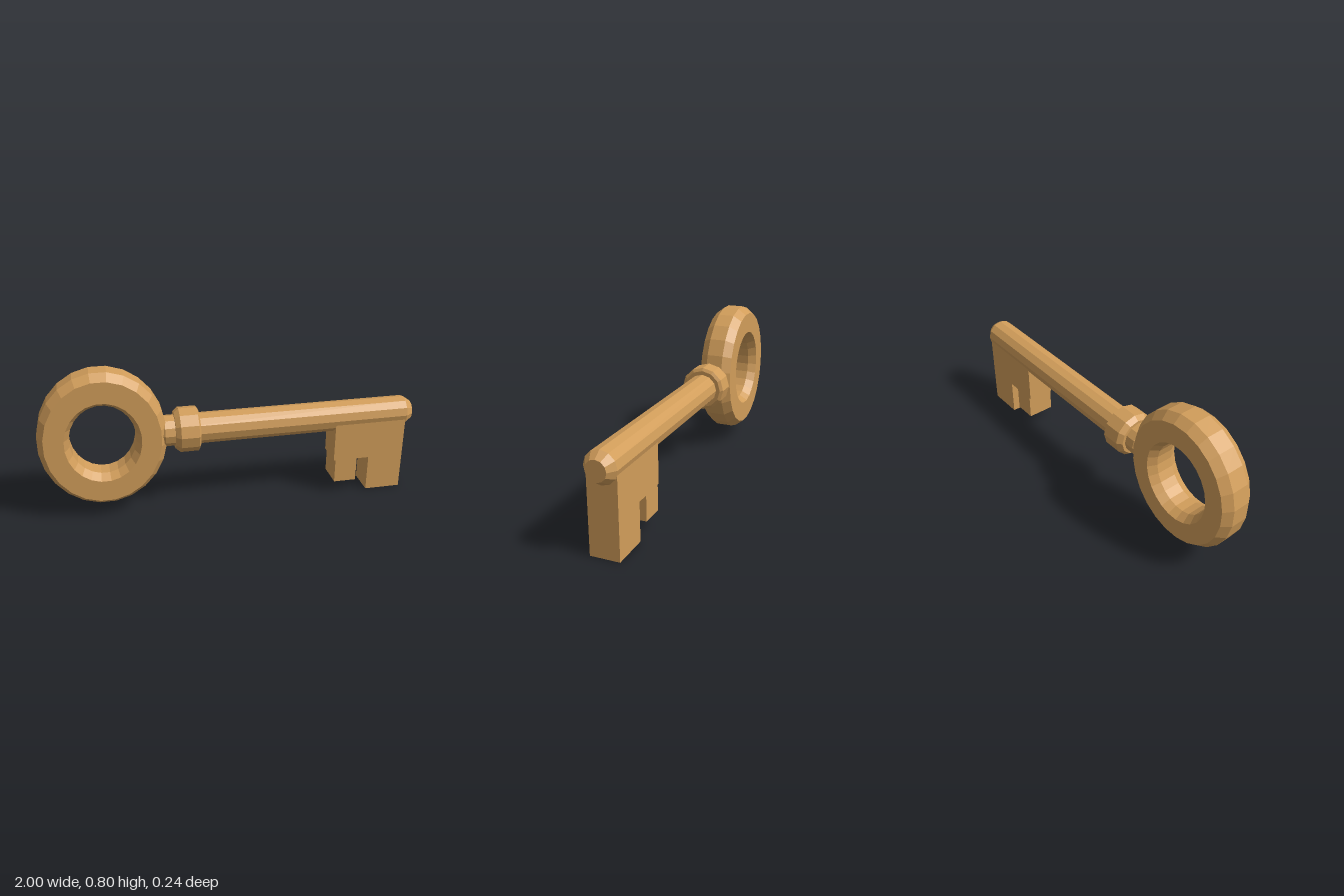
import * as THREE from 'three';

const AXIS_Y = 0.437;

// Separate the faces so that every facet is shaded flat
function faceted(geometry) {
  const flat = geometry.index ? geometry.toNonIndexed() : geometry;
  flat.computeVertexNormals();
  return flat;
}

// Revolve [radius, position] pairs around the y axis
function revolve(profile, sides, start = 0) {
  const points = profile.map(([r, p]) => new THREE.Vector2(r, p));
  return new THREE.LatheGeometry(points, sides, start);
}

export function createModel() {
  const model = new THREE.Group();
  model.name = 'key';
  const brass = new THREE.MeshStandardMaterial({ color: 0xd19d5a });
  brass.name = 'brass';

  function add(name, geometry, x = 0, y = 0) {
    const mesh = new THREE.Mesh(faceted(geometry), brass);
    mesh.name = name;
    mesh.position.set(x, y, 0);
    model.add(mesh);
  }

  // Oval bow with chamfered outer and inner rims
  const bow = revolve([
    [0.19, -0.045], [0.218, -0.09], [0.332, -0.09], [0.367, -0.045],
    [0.367, 0.045], [0.332, 0.09], [0.218, 0.09], [0.19, 0.045], [0.19, -0.045],
  ], 24, Math.PI / 24);
  bow.rotateX(Math.PI / 2).scale(0.893, 1, 1);
  add('bow', bow, -0.675, AXIS_Y);

  // Shaft with chamfered ends
  const shaft = revolve([
    [0, -0.4], [0.052, -0.4], [0.082, -0.36], [0.082, 0.958], [0.052, 1], [0, 1],
  ], 12);
  add('shaft', shaft.rotateZ(-Math.PI / 2), 0, AXIS_Y);

  // Collar between bow and shaft
  const collar = revolve([
    [0, -0.307], [0.098, -0.307], [0.119, -0.282], [0.119, -0.188], [0.103, -0.178], [0, -0.178],
  ], 12);
  add('collar', collar.rotateZ(-Math.PI / 2), 0, AXIS_Y);

  // Notched bit below the shaft
  const outline = [
    [0.557, 0.42], [0.557, 0.2], [0.567, 0.2], [0.567, 0.067], [0.69, 0.067], [0.69, 0.2],
    [0.757, 0.2], [0.757, 0], [0.953, 0], [0.953, 0.42],
  ].map(([x, y]) => new THREE.Vector2(x, y));
  const bit = new THREE.ExtrudeGeometry(new THREE.Shape(outline), { depth: 0.15, bevelEnabled: false });
  add('bit', bit.translate(0, 0, -0.075));

  return model;
}
